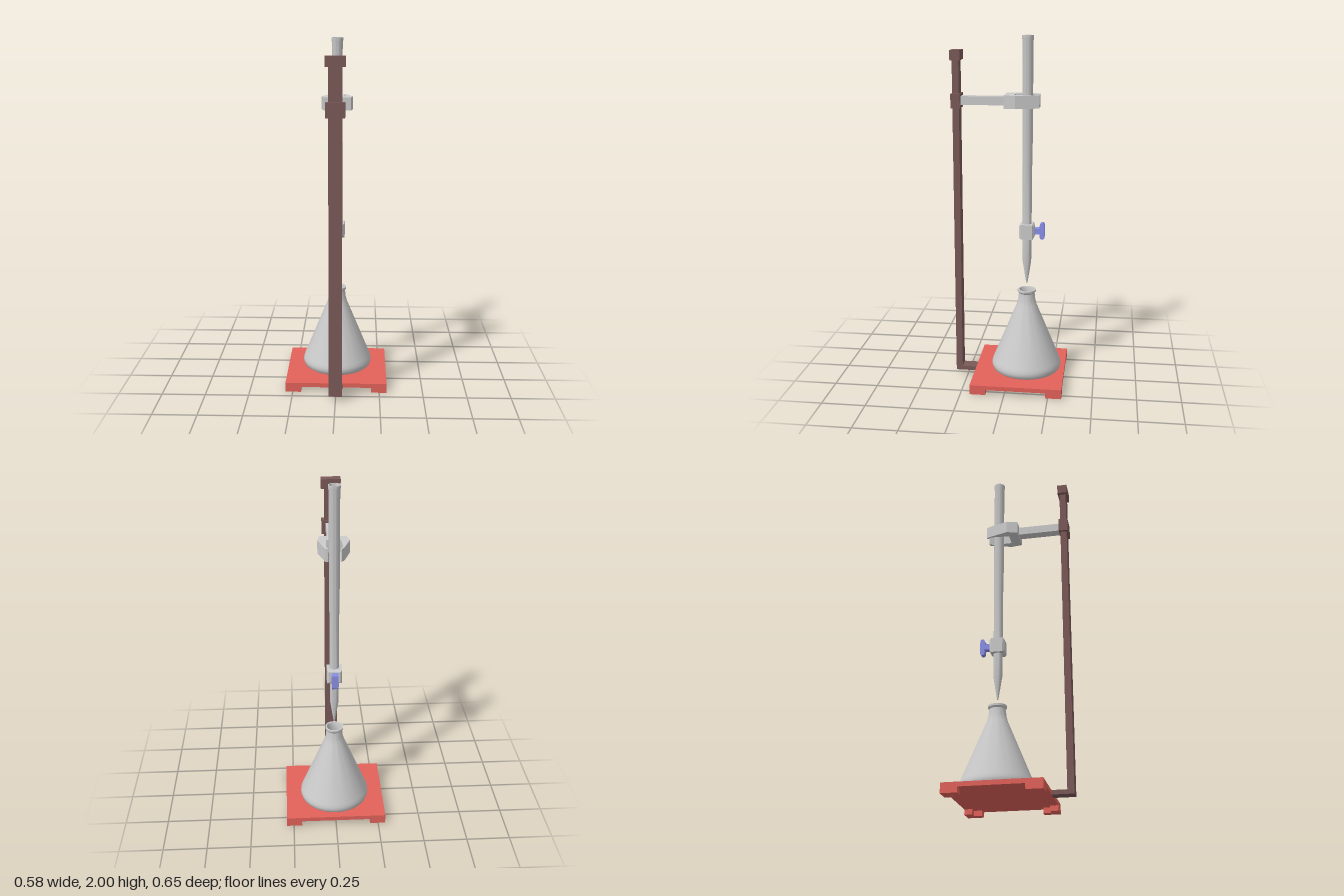
import * as THREE from 'three';
import { toCreasedNormals } from 'three/addons/utils/BufferGeometryUtils.js';

const material = (color) => new THREE.MeshStandardMaterial({ color, side: THREE.DoubleSide });
const AXIS_Z = -0.1; // burette and flask share this axis

export function createModel() {
  const group = new THREE.Group();
  const grey = material(0xcccccc);
  const red = material(0xe2625a);
  const brown = material(0x7a5a58);
  const blue = material(0x8a90e8);

  const add = (name, geometry, mat) => {
    const mesh = new THREE.Mesh(geometry, mat);
    mesh.name = name;
    group.add(mesh);
    return mesh;
  };

  // Box given by its extents on each axis
  const box = (name, mat, [x0, x1], [y0, y1], [z0, z1]) => {
    const mesh = add(name, new THREE.BoxGeometry(x1 - x0, y1 - y0, z1 - z0), mat);
    mesh.position.set((x0 + x1) / 2, (y0 + y1) / 2, (z0 + z1) / 2);
    return mesh;
  };

  // Outline in (x, z), raised from y0 to y1
  const plate = (name, mat, points, y0, y1) => {
    const shape = new THREE.Shape(points.map(([x, z]) => new THREE.Vector2(x, -z)));
    const geometry = new THREE.ExtrudeGeometry(shape, { depth: y1 - y0, bevelEnabled: false });
    geometry.rotateX(-Math.PI / 2);
    geometry.translate(0, y0, 0);
    return add(name, geometry, mat);
  };

  // Turned part with sharp edges kept only at strong corners
  const turned = (name, points, segments) => {
    const profile = points.map(([r, y]) => new THREE.Vector2(r, y));
    const geometry = toCreasedNormals(new THREE.LatheGeometry(profile, segments), 0.6);
    const mesh = add(name, geometry, grey);
    mesh.position.z = AXIS_Z;
    return mesh;
  };

  // Base slab with an L-shaped foot at each corner
  box('baseSlab', red, [-0.292, 0.292], [0.03, 0.055], [-0.327, 0.197]);
  for (const sx of [-1, 1]) {
    for (const sz of [-1, 1]) {
      const foot = [[0, 0], [0.09, 0], [0.09, 0.045], [0.045, 0.045], [0.045, 0.09], [0, 0.09]]
        .map(([a, b]) => [sx * (0.292 - a), -0.065 + sz * (0.262 - b)]);
      plate('baseFoot', red, foot, 0, 0.03);
    }
  }

  // Upright stand
  box('standStrap', brown, [-0.037, 0.037], [0.03, 0.054], [0.197, 0.28]);
  box('standPost', brown, [-0.037, 0.037], [0.03, 1.87], [0.28, 0.317]);
  box('standCap', brown, [-0.055, 0.055], [1.865, 1.92], [0.27, 0.326]);
  box('armCollar', brown, [-0.052, 0.052], [1.602, 1.682], [0.272, 0.325]);

  // Arm and open clamp jaws
  box('clampArm', grey, [-0.025, 0.03], [1.62, 1.668], [0.02, 0.275]);
  plate('clampJaws', grey, [
    [-0.072, 0.026], [0.078, 0.026], [0.088, -0.038], [0.05, -0.166],
    [0.033, -0.168], [0.046, -0.134], [0.042, -0.031],
    [-0.038, -0.031], [-0.045, -0.134], [-0.029, -0.164],
    [-0.036, -0.168], [-0.05, -0.15], [-0.086, -0.038],
  ], 1.608, 1.68);

  // Hollow burette tube
  turned('buretteTube', [
    [0, 0.94], [0.026, 0.94], [0.027, 1.28], [0.029, 1.3], [0.03, 1.97],
    [0.033, 1.985], [0.033, 2], [0.028, 2], [0.025, 1.97], [0.022, 0.97], [0, 0.97],
  ], 32);
  turned('buretteTip', [
    [0, 0.585], [0.004, 0.585], [0.025, 0.72], [0.026, 0.86], [0, 0.86],
  ], 32);

  // Chamfered valve block
  const c = 0.01;
  const s = 0.043 - c;
  const block = new THREE.Shape([[-s, -s], [s, -s], [s, s], [-s, s]]
    .map(([x, y]) => new THREE.Vector2(x, y)));
  const blockGeometry = new THREE.ExtrudeGeometry(block, {
    depth: 2 * s, bevelSize: c, bevelThickness: c, bevelSegments: 1,
  });
  blockGeometry.translate(0, 0.9, AXIS_Z - s);
  add('valveBlock', blockGeometry, grey);

  // Valve handle: stem and grip with tapered ends
  box('valveStem', blue, [-0.019, 0.019], [0.885, 0.918], [-0.178, -0.14]);
  const grip = new THREE.Shape([
    [0.174, 0.865], [0.18, 0.855], [0.193, 0.853], [0.201, 0.863],
    [0.201, 0.94], [0.193, 0.951], [0.18, 0.949], [0.174, 0.938],
  ].map(([x, y]) => new THREE.Vector2(x, y)));
  const gripGeometry = new THREE.ExtrudeGeometry(grip, { depth: 0.036, bevelEnabled: false });
  gripGeometry.translate(0, 0, -0.018);
  gripGeometry.rotateY(Math.PI / 2);
  add('valveGrip', gripGeometry, blue);

  // Conical flask with an open neck and thin wall
  turned('flask', [
    [0, 0.056], [0.185, 0.056], [0.197, 0.066], [0.203, 0.085], [0.202, 0.1], [0.196, 0.118],
    [0.058, 0.455], [0.05, 0.485], [0.046, 0.525], [0.053, 0.535], [0.053, 0.546],
    [0.044, 0.546], [0.039, 0.525], [0.042, 0.485], [0.05, 0.455],
    [0.187, 0.118], [0.192, 0.09], [0.18, 0.07], [0, 0.07],
  ], 48);

  return group;
}
